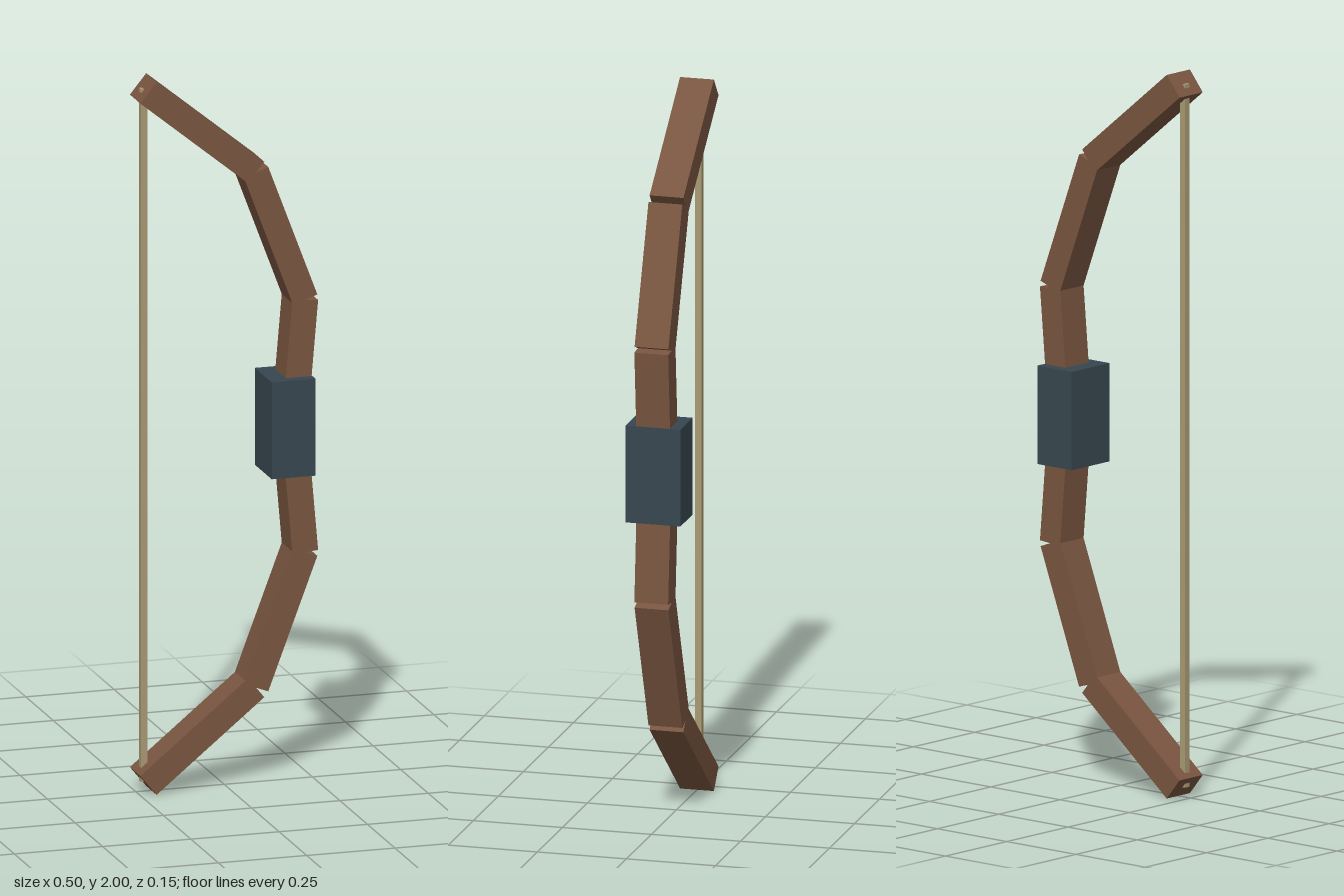
import * as THREE from 'three';

const WOOD = new THREE.MeshStandardMaterial({ color: 0x795540 });
const GRIP = new THREE.MeshStandardMaterial({ color: 0x37474f });
const STRING = new THREE.MeshStandardMaterial({ color: 0xa89a72 });

const MID = 1; // height of the mirror plane

function box(name, material, w, h, d, x, y) {
  const mesh = new THREE.Mesh(new THREE.BoxGeometry(w, h, d), material);
  mesh.name = name;
  mesh.position.set(x, y, 0);
  return mesh;
}

// Square-ended bar whose centre line runs from a to b
function bar(name, [ax, ay], [bx, by]) {
  const dx = bx - ax, dy = by - ay;
  const mesh = box(name, WOOD, 0.073, Math.hypot(dx, dy), 0.095, (ax + bx) / 2, (ay + by) / 2);
  mesh.rotation.z = Math.atan2(-dx, dy);
  return mesh;
}

export function createModel() {
  const bow = new THREE.Group();
  bow.name = 'bow';

  // Limbs: centre-line joints as x and height above the middle, mirrored up and down
  const joints = [[0.186, 0.02], [0.215, 0.354], [0.076, 0.723], [-0.229, 0.972]];
  const parts = ['innerLimb', 'middleLimb', 'outerLimb'];
  for (const [side, s] of [['upper', 1], ['lower', -1]]) {
    const limb = new THREE.Group();
    limb.name = side + 'Limb';
    const points = joints.map(([x, h]) => [x, MID + s * h]);
    parts.forEach((part, i) => limb.add(bar(part, points[i], points[i + 1])));
    bow.add(limb);
  }

  // Grip block and bowstring
  bow.add(box('grip', GRIP, 0.124, 0.272, 0.154, 0.173, 1.003));
  bow.add(box('bowstring', STRING, 0.018, 1.944, 0.018, -0.229, MID));
  return bow;
}
